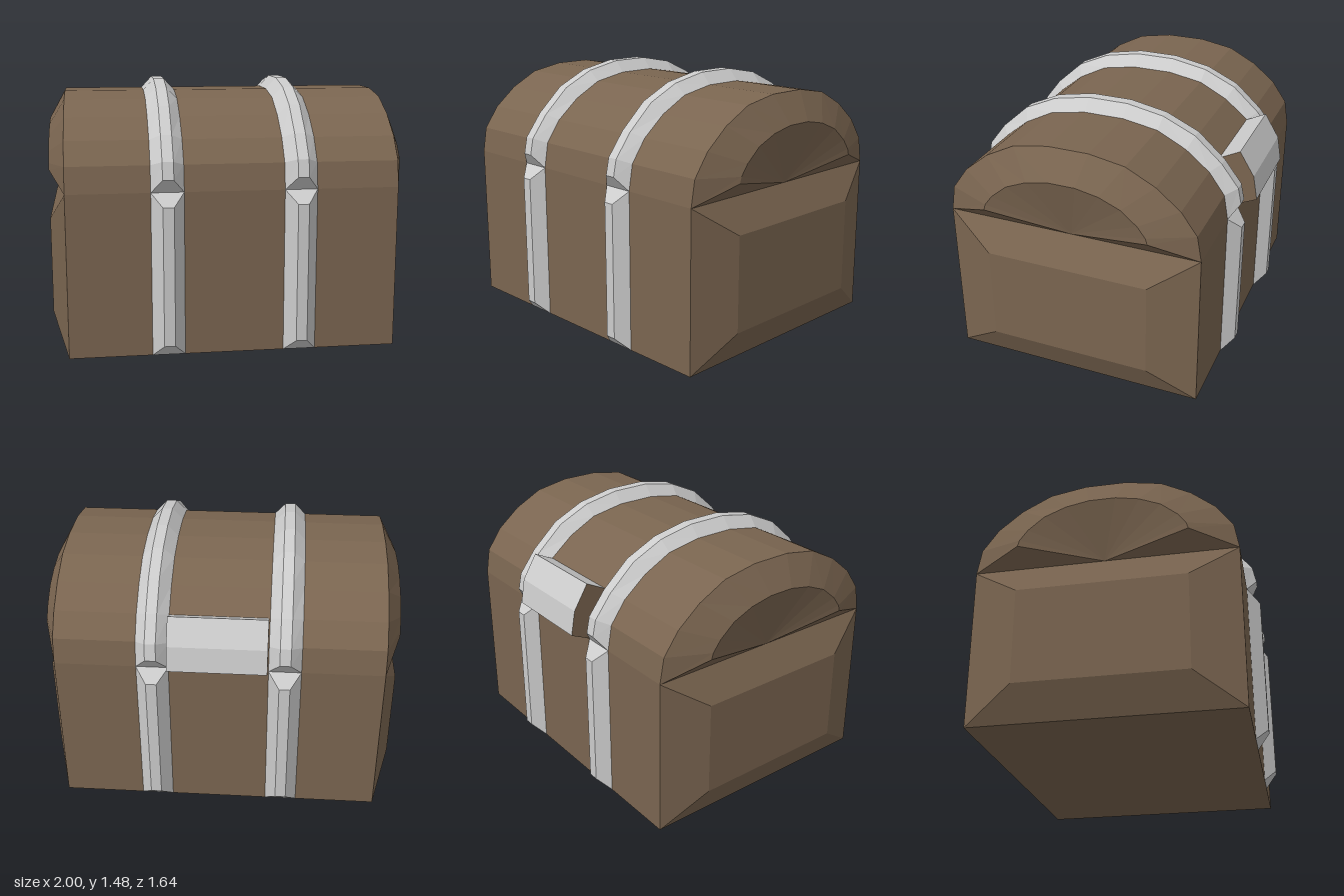
import * as THREE from 'three';

const wood = new THREE.MeshStandardMaterial({ color: 0x7a6550, flatShading: true });
const metal = new THREE.MeshStandardMaterial({ color: 0xcccccc, flatShading: true });

// Flat-sided mesh from polygons, each a counter-clockwise list of [x, y, z]
function polyMesh(name, faces, material) {
  const pos = [];
  for (const f of faces)
    for (let i = 1; i < f.length - 1; i++) pos.push(...f[0], ...f[i], ...f[i + 1]);
  const geo = new THREE.BufferGeometry();
  geo.setAttribute('position', new THREE.Float32BufferAttribute(pos, 3));
  geo.computeVertexNormals();
  const mesh = new THREE.Mesh(geo, material);
  mesh.name = name;
  return mesh;
}

const mirrorX = faces => faces.concat(faces.map(f => f.map(([x, y, z]) => [-x, y, z]).reverse()));
const mirrorPath = path => path.map(([z, y]) => [-z, y]).reverse();
const arch = half => [...half, ...mirrorPath(half)];

const W = 0.91, D = 0.73, RIM = 0.91; // half width, half depth, body height

// Profiles as [z, y], front to crown
const lidProfile = arch([[D, RIM], [0.705, 1.055], [0.615, 1.18], [0.48, 1.29], [0.315, 1.375], [0.115, 1.41]]);
const lidRing = arch([[0.47, 1.005], [0.46, 1.04], [0.415, 1.1], [0.325, 1.175], [0.205, 1.225], [0.075, 1.25]]);
const bandCrest = arch([[0.785, 0.985], [0.765, 1.08], [0.665, 1.21], [0.51, 1.35], [0.325, 1.435], [0.115, 1.475]]);

// Box with end panels that bulge outwards
function makeBody() {
  const lo = 0.19, hi = 0.73, d = 0.465;
  const faces = [
    [[0, 0, D], [W, 0, D], [W, hi, D], [0, hi, D]],
    [[0, hi, D], [W, hi, D], [W, RIM, D], [0, RIM, D]],
    [[W, 0, -D], [0, 0, -D], [0, hi, -D], [W, hi, -D]],
    [[W, hi, -D], [0, hi, -D], [0, RIM, -D], [W, RIM, -D]],
    [[0, 0, -D], [W, 0, -D], [W, 0, D], [0, 0, D]],
    [[0, RIM, D], [W, RIM, D], [W, RIM, -D], [0, RIM, -D]],
    // end panel
    [[1, lo, d], [1, lo, -d], [1, hi, -d], [1, hi, d]],
    [[W, 0, D], [W, 0, -D], [1, lo, -d], [1, lo, d]],
    [[W, 0, D], [1, lo, d], [1, hi, d], [W, hi, D]],
    [[1, lo, -d], [W, 0, -D], [W, hi, -D], [1, hi, -d]],
    // sloped rim
    [[1, hi, d], [1, hi, -d], [W, RIM, -D], [W, RIM, D]],
    [[W, hi, D], [1, hi, d], [W, RIM, D]],
    [[1, hi, -d], [W, hi, -D], [W, RIM, -D]],
  ];
  return polyMesh('chestBody', mirrorX(faces), wood);
}

// Arched lid; each end rises to a ring and dips back to a point at the rim
function makeLid() {
  const at = (x, [z, y]) => [x, y, z];
  const centre = [W, RIM, 0], n = lidProfile.length - 1;
  const faces = [
    [centre, at(1, lidRing[0]), at(W, lidProfile[0])],
    [centre, at(W, lidProfile[n]), at(1, lidRing[n])],
  ];
  for (let i = 0; i < n; i++) {
    const [a, b, r, s] = [lidProfile[i], lidProfile[i + 1], lidRing[i], lidRing[i + 1]];
    faces.push([at(0, a), at(W, a), at(W, b), at(0, b)]);
    faces.push([at(W, a), at(1, r), at(1, s), at(W, b)]);
    faces.push([centre, at(1, s), at(1, r)]);
  }
  return polyMesh('lid', mirrorX(faces), wood);
}

// Bevelled metal band: wide base path, narrow raised crest path
function makeBand(name, base, crest, x) {
  const o = 0.09, c = 0.03, n = base.length - 1;
  const B = (s, i) => [x + s * o, base[i][1], base[i][0]];
  const C = (s, i) => [x + s * c, crest[i][1], crest[i][0]];
  const faces = [
    [B(-1, 0), B(1, 0), C(1, 0), C(-1, 0)],
    [C(-1, n), C(1, n), B(1, n), B(-1, n)],
  ];
  for (let i = 0; i < n; i++) {
    faces.push([C(-1, i), C(1, i), C(1, i + 1), C(-1, i + 1)]);
    faces.push([B(-1, i), C(-1, i), C(-1, i + 1), B(-1, i + 1)]);
    faces.push([C(1, i), B(1, i), B(1, i + 1), C(1, i + 1)]);
  }
  return polyMesh(name, faces, metal);
}

// Hinge block between the bands: metal skin with wooden ends
function makeHinge() {
  const outline = [[-0.615, 1.18], [-0.73, 1.238], [-0.815, 1.1], [-0.84, 0.96], [-0.73, 0.91], [-0.705, 1.055]];
  const shape = new THREE.Shape(outline.map(([z, y]) => new THREE.Vector2(-z, y)));
  const geo = new THREE.ExtrudeGeometry(shape, { depth: 0.54, bevelEnabled: false });
  geo.translate(0, 0, -0.27).rotateY(Math.PI / 2);
  const mesh = new THREE.Mesh(geo, [wood, metal]);
  mesh.name = 'hinge';
  return mesh;
}

export function createModel() {
  const model = new THREE.Group();
  model.name = 'chest';
  const chest = new THREE.Group();
  chest.name = 'chestParts';
  chest.position.z = 0.025;
  chest.add(makeBody(), makeLid(), makeHinge());

  const base = [[D, 0], [D, RIM]];
  const crest = [[0.798, 0.07], [0.798, 0.84]];
  for (const x of [-0.365, 0.365]) {
    const side = x > 0 ? 'left' : 'right';
    chest.add(
      makeBand(side + 'LidBand', lidProfile, bandCrest, x),
      makeBand(side + 'FrontBand', base, crest, x),
      makeBand(side + 'BackBand', mirrorPath(base), mirrorPath(crest), x),
    );
  }
  model.add(chest);
  return model;
}
